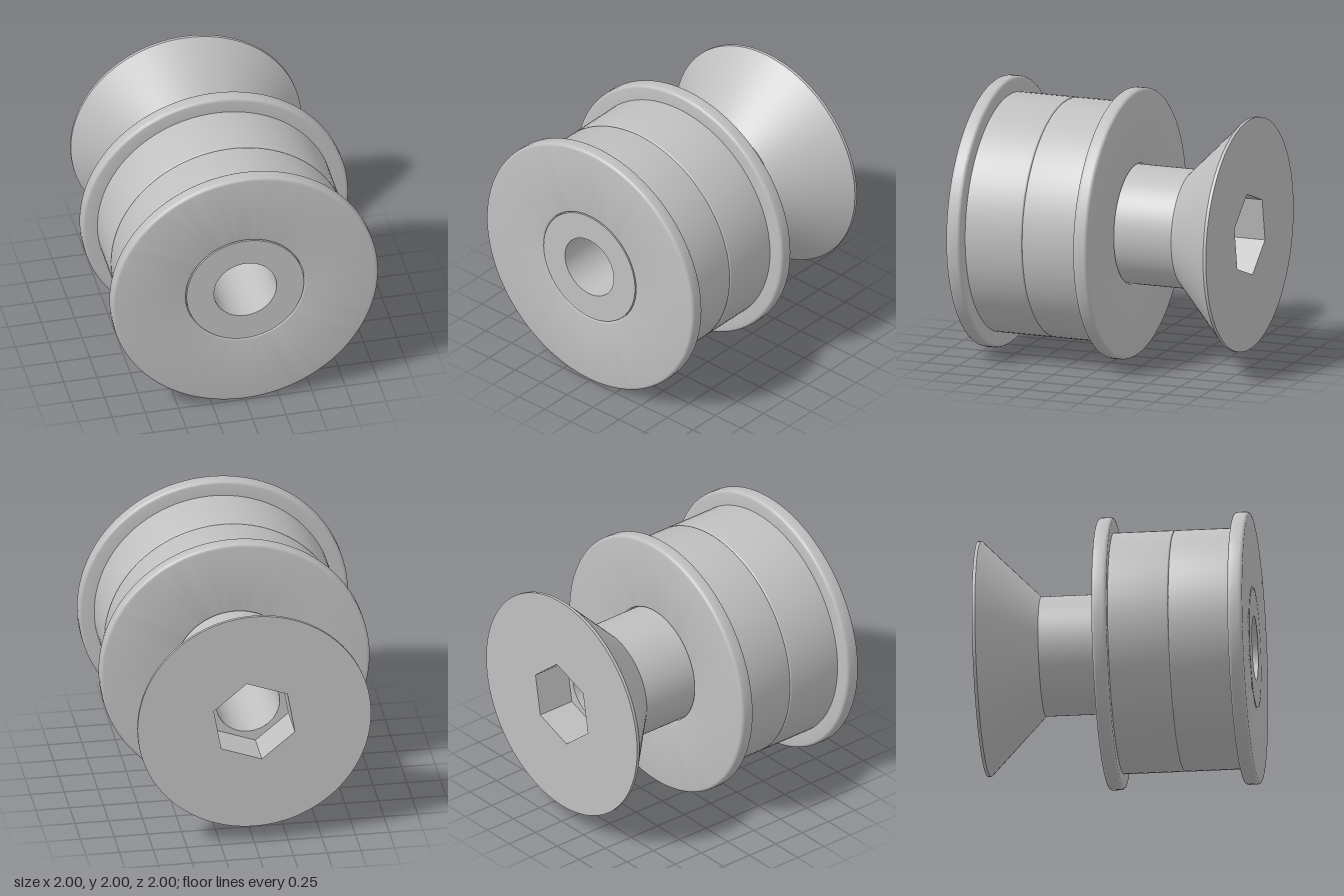
import * as THREE from 'three';
import { toCreasedNormals } from 'three/addons/utils/BufferGeometryUtils.js';

const SEGMENTS = 96;
const BORE = 0.235, SHAFT = 0.44, HEAD = 0.865;
const SOCKET = 0.32, SOCKET_DEPTH = 0.3, SOCKET_TURN = Math.PI / 9;
const BACK = -1;

const steel = new THREE.MeshStandardMaterial({ color: 0xc0c0c0 });
steel.name = 'steel grey';

function part(name, geometry) {
  const mesh = new THREE.Mesh(toCreasedNormals(geometry, 0.5), steel);
  mesh.name = name;
  return mesh;
}

// Revolves [radius, z] points, listed counter-clockwise, about the z axis
function turned(points) {
  const profile = points.map(([r, z]) => new THREE.Vector2(r, z));
  return new THREE.LatheGeometry(profile, SEGMENTS).rotateX(Math.PI / 2);
}

// Quarter-round of a profile corner, starting at angle a
function fillet(r, z, radius, a) {
  return Array.from({ length: 5 }, (_, i) => {
    const t = a + (i * Math.PI) / 8;
    return [r + radius * Math.cos(t), z + radius * Math.sin(t)];
  });
}

// Half wheel: the joint lies at z = 0 and the flange at the far end
function wheelHalf() {
  const len = 0.555, flange = 0.445, tread = 0.885, hole = 0.445;
  const f = 0.025, e = 0.012;
  const points = [
    [hole, 0],
    ...fillet(tread - e, e, e, -Math.PI / 2),
    [tread, flange],
    ...fillet(1 - f, flange + f, f, -Math.PI / 2),
    ...fillet(1 - f, len - f, f, 0),
    ...fillet(hole + e, len - e, e, Math.PI / 2),
    [hole, 0],
  ];
  return turned(points);
}

function hexPath(PathType, angle) {
  const points = Array.from({ length: 6 }, (_, i) => {
    const t = angle + (i * Math.PI) / 3;
    return new THREE.Vector2(SOCKET * Math.cos(t), SOCKET * Math.sin(t));
  });
  return new PathType(points);
}

function circlePath(PathType, radius) {
  return new PathType().absarc(0, 0, radius, 0, Math.PI * 2, false);
}

// Flat ring facing backwards at depth z
function backFace(outer, hole, z) {
  outer.holes.push(hole);
  return new THREE.ShapeGeometry(outer, SEGMENTS).rotateY(Math.PI).translate(0, 0, z);
}

export function createModel() {
  const model = new THREE.Group();
  model.name = 'flangedRoller';

  // Two mirrored halves meeting at a fine groove
  const front = part('frontWheelHalf', wheelHalf());
  const back = part('backWheelHalf', wheelHalf());
  back.rotation.y = Math.PI;
  front.position.z = back.position.z = 0.445;

  // Hollow countersunk bolt
  const bolt = new THREE.Group();
  bolt.name = 'bolt';
  const floor = BACK + SOCKET_DEPTH;
  bolt.add(part('boltBody', turned([
    [HEAD, BACK], [HEAD, BACK + 0.023], [SHAFT, -0.555],
    [SHAFT, 1], [BORE, 1], [BORE, floor],
  ])));

  // Head face with hexagonal socket; shapes are mirrored when turned to the back
  bolt.add(part('headFace', backFace(
    circlePath(THREE.Shape, HEAD), hexPath(THREE.Path, -SOCKET_TURN), BACK)));
  bolt.add(part('socketFloor', backFace(
    hexPath(THREE.Shape, -SOCKET_TURN), circlePath(THREE.Path, BORE), floor)));

  // Inward-facing socket walls
  const walls = new THREE.CylinderGeometry(SOCKET, SOCKET, SOCKET_DEPTH, 6, 1, true)
    .scale(-1, 1, 1)
    .rotateX(Math.PI / 2)
    .rotateZ(SOCKET_TURN - Math.PI / 6)
    .translate(0, 0, BACK + SOCKET_DEPTH / 2);
  bolt.add(part('socketWalls', walls));

  model.add(front, back, bolt);
  model.position.y = 1;
  return model;
}
